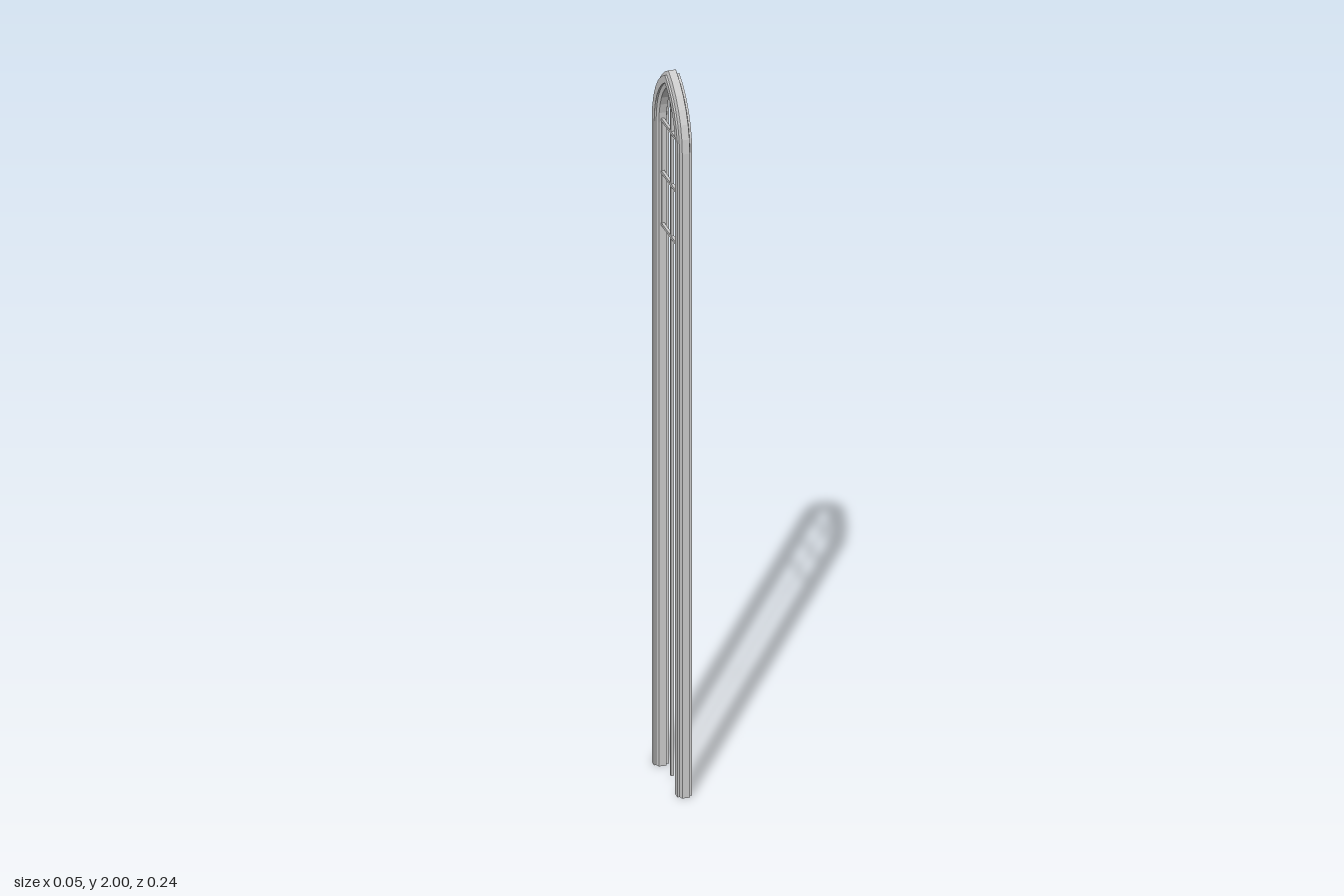
import * as THREE from 'three';

const JAMB = 0.1;      // jamb centre line, distance from the middle
const SPRING = 1.817;  // height where the arch starts
const OFFSET = 0.08;   // arc centre lies this far past the middle
const STEPS = 6;       // facets per half arch

const material = new THREE.MeshStandardMaterial({ color: 0xcccccc, flatShading: true, side: THREE.DoubleSide });

// Moulded section, quarter outline as [outward, depth]; mirrored into a closed loop
function mouldingSection() {
  const quarter = [[0.02, 0.01], [0.0165, 0.0115], [0.009, 0.014], [0.01, 0.0195]];
  const flip = (pts, a, b) => pts.map(([d, w]) => [d * a, w * b]);
  const back = [...quarter].reverse();
  return [...quarter, ...flip(back, -1, 1), ...flip(quarter, -1, -1), ...flip(back, 1, -1)];
}

// Sweep of the section up one jamb, over the pointed arch and down the other jamb
function frameGeometry() {
  const section = mouldingSection();
  const half = [section.map(([d, w]) => [w, 0, JAMB + d])];
  for (let i = 0; i <= STEPS; i++) {
    half.push(section.map(([d, w]) => {
      const r = JAMB + OFFSET + d;
      const angle = Math.acos(OFFSET / r) * i / STEPS;
      return [w, SPRING + r * Math.sin(angle), r * Math.cos(angle) - OFFSET];
    }));
  }
  const mirrored = half.slice(0, -1).reverse().map(ring => ring.map(([x, y, z]) => [x, y, -z]));
  const rings = [...half, ...mirrored];

  const n = section.length;
  const index = [];
  for (let i = 0; i < rings.length - 1; i++) {
    for (let j = 0; j < n; j++) {
      const k = (j + 1) % n;
      const a = i * n + j, b = i * n + k;
      index.push(a, b, b + n, a, b + n, a + n);
    }
  }
  const geometry = new THREE.BufferGeometry();
  geometry.setAttribute('position', new THREE.Float32BufferAttribute(rings.flat(2), 3));
  geometry.setIndex(index);
  const flat = geometry.toNonIndexed();
  flat.computeVertexNormals();
  return flat;
}

function bar(name, height, width, y, z, thickness = 0.008) {
  const mesh = new THREE.Mesh(new THREE.BoxGeometry(thickness, height, width), material);
  mesh.name = name;
  mesh.position.set(0, y, z);
  return mesh;
}

export function createModel() {
  const model = new THREE.Group();
  model.name = 'lancetWindow';

  const frame = new THREE.Mesh(frameGeometry(), material);
  frame.name = 'archedFrame';
  model.add(frame);

  // Central upright
  model.add(bar('mullion', 1.955, 0.008, 0.9875, 0));

  // Cross bars
  for (const y of [1.53, 1.677, 1.825]) model.add(bar('crossBar', 0.008, 0.17, y, 0));

  // Slim edge strips between the cross bars
  for (const side of [-1, 1]) model.add(bar('edgeStrip', 0.295, 0.005, 1.6775, side * 0.08, 0.006));

  // The window stands slightly turned
  model.rotation.y = -0.063;
  return model;
}
